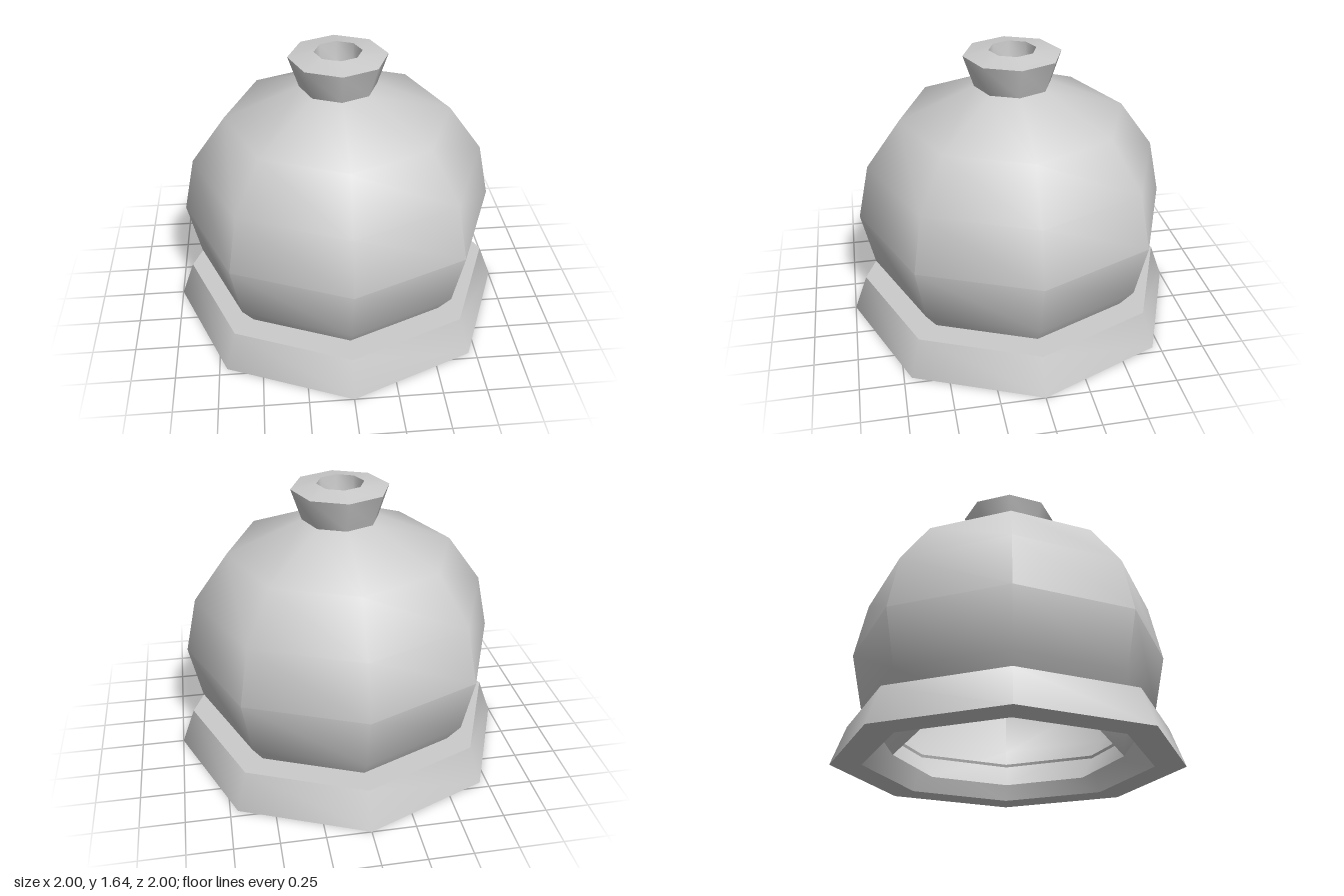
import * as THREE from 'three';
import { toCreasedNormals } from 'three/addons/utils/BufferGeometryUtils.js';

const SIDES = 8;

// Eight-sided turned part: smooth around, creased at sharp profile corners.
function turned(name, profile, material) {
  const points = profile.map(([r, y]) => new THREE.Vector2(r, y));
  const geometry = toCreasedNormals(
    new THREE.LatheGeometry(points, SIDES),
    THREE.MathUtils.degToRad(50)
  );
  const mesh = new THREE.Mesh(geometry, material);
  mesh.name = name;
  return mesh;
}

export function createModel() {
  const group = new THREE.Group();
  group.name = 'roundVessel';
  const solid = new THREE.MeshStandardMaterial({ color: 0xcccccc });
  const shell = new THREE.MeshStandardMaterial({ color: 0xcccccc, side: THREE.DoubleSide });

  // Tapered ring the body sits in, open through the middle
  group.add(turned('baseRing', [
    [0.82, 0], [1, 0], [0.92, 0.22], [0.75, 0.22], [0.82, 0],
  ], solid));

  // Squashed round shell, open at the bottom, with a flatter shoulder
  const body = [];
  for (let i = -2; i <= 2; i++) {
    const a = (i * Math.PI) / 8;
    body.push([0.92 * Math.cos(a), 0.66 + 0.85 * Math.sin(a)]);
  }
  body.push([0.22, 1.44]);
  group.add(turned('body', body, shell));

  // Flared neck with a sloping rim and a small recess
  group.add(turned('neck', [
    [0.22, 1.44], [0.28, 1.62], [0.135, 1.645], [0.125, 1.53], [0, 1.53],
  ], shell));

  return group;
}
